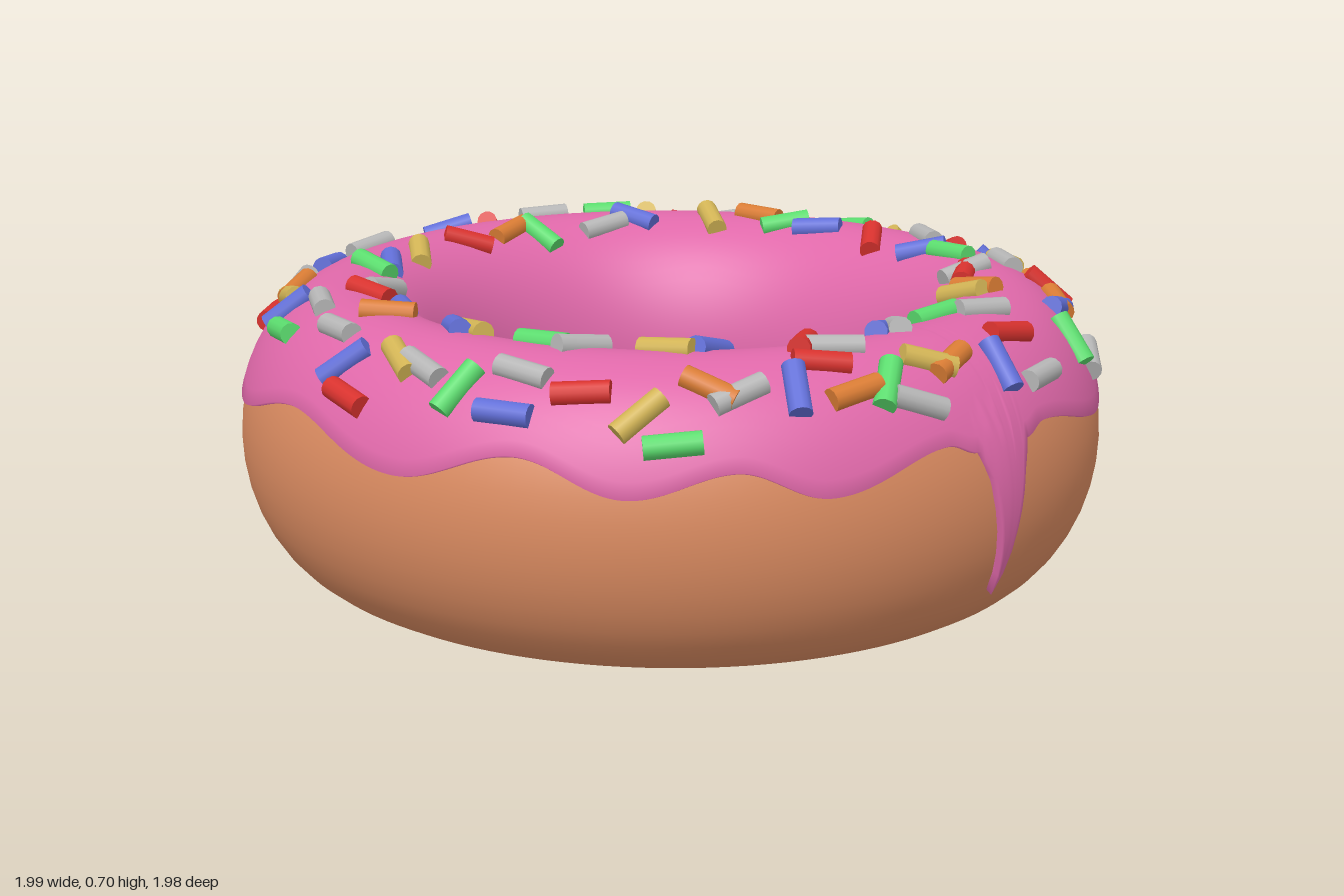
import * as THREE from 'three';

const material = (name, color, side = THREE.FrontSide) => {
  const m = new THREE.MeshStandardMaterial({ color, side });
  m.name = name;
  return m;
};
const doughMaterial = material('dough', 0xd98a60);
const icingMaterial = material('pinkIcing', 0xdf68a9, THREE.DoubleSide);

// Ring cross-section: angle theta runs from +z towards +x, phi runs around the tube
const OUTER = 0.99, MID_Y = 0.33, DEG = Math.PI / 180;
function ringSize(theta) {
  const inner = 0.492 - 0.015 * Math.cos(2 * theta);
  return { centre: (OUTER + inner) / 2, half: (OUTER - inner) / 2 };
}
function ringPoint(theta, phi, lift) {
  const { centre, half } = ringSize(theta);
  const r = centre + (half + lift) * Math.cos(phi);
  return [r * Math.sin(theta), MID_Y + (MID_Y + lift) * Math.sin(phi), r * Math.cos(theta)];
}

// Closed around theta; rows follow phi
function ringSurface(columns, rows, pointAt, wrapRows) {
  const positions = [], index = [];
  const rowCount = wrapRows ? rows : rows + 1;
  for (let i = 0; i < columns; i++)
    for (let j = 0; j < rowCount; j++) positions.push(...pointAt((i / columns) * Math.PI * 2, j));
  for (let i = 0; i < columns; i++)
    for (let j = 0; j < rows; j++) {
      const i2 = (i + 1) % columns, j2 = (j + 1) % rowCount;
      const a = i * rowCount + j, b = i2 * rowCount + j;
      const c = i2 * rowCount + j2, d = i * rowCount + j2;
      index.push(a, b, c, a, c, d);
    }
  const geometry = new THREE.BufferGeometry();
  geometry.setAttribute('position', new THREE.Float32BufferAttribute(positions, 3));
  geometry.setIndex(index);
  geometry.computeVertexNormals();
  return geometry;
}

// Wavy outer icing edge: [degrees, height], including one long drip
const DRIP = 97;
const EDGE = [
  [-4, 0.5], [17, 0.43], [33, 0.5], [47, 0.43], [60, 0.48], [71, 0.42], [88, 0.485],
  [92.5, 0.46], [94, 0.4], [95.5, 0.28], [97, 0.13], [98.5, 0.28], [100, 0.4], [101.5, 0.46],
  [106, 0.48], [126, 0.42], [143, 0.51], [160, 0.42], [177, 0.5], [192, 0.43], [208, 0.5],
  [223, 0.42], [241, 0.5], [257, 0.43], [273, 0.49], [290, 0.42], [306, 0.5], [335, 0.43], [356, 0.5],
];
function edgeHeight(degrees) {
  const d = degrees > 356 ? degrees - 360 : degrees;
  const k = Math.max(1, EDGE.findIndex((e) => e[0] >= d));
  const [d0, y0] = EDGE[k - 1], [d1, y1] = EDGE[k];
  const t = (d - d0) / (d1 - d0);
  // Straight sides on the drip, rounded waves elsewhere
  const s = d > 92.5 && d < 101.5 ? t : (1 - Math.cos(t * Math.PI)) / 2;
  return y0 + (y1 - y0) * s;
}

const ICING = 0.009, ICING_ROWS = 28;
function icingPoint(theta, j) {
  const degrees = theta / DEG;
  const start = Math.asin((edgeHeight(degrees) - MID_Y) / (MID_Y + ICING));
  const end = Math.PI;
  // First and last rows tuck the lip into the dough
  const lip = j === 0 || j === ICING_ROWS;
  const t = THREE.MathUtils.clamp((j - 1) / (ICING_ROWS - 2), 0, 1);
  const phi = start + (end - start) * t;
  const bulge = phi < 0.6 ? 0.007 * Math.exp(-(((degrees - DRIP) / 4) ** 2)) : 0;
  return ringPoint(theta, phi, lip ? -0.004 : ICING + bulge);
}

// Sprinkles: x and z in hundredths, then heading in degrees seen from above
const SPRINKLES = {
  green: [0x5bdc6e, [10, -94, -15, -28, -81, 5, -31, -61, 60, -73, -36, 60, -65, -9, 15, 23, -67, 0,
    74, -55, 5, 66, -21, 90, 88, 13, -50, 75, 58, 55, 34, 60, 20, 35, 82, 88, -31, 84, -15, -50, 49, 5]],
  blue: [0x626fd8, [-41, -79, 35, 16, -89, 40, -22, -64, 35, 14, -66, 40, 62, -63, -60, -80, -39, 70,
    -60, -35, 20, 88, -19, -5, 68, -3, -50, -84, 6, 65, 82, 32, -30, 58, 35, -70, -73, 47, -50,
    -52, 43, -30, -12, 65, -25, 12, 67, -25, -41, 77, 50, 3, 89, 50, 47, 79, 30]],
  red: [0xd8322e, [1, -88, -25, -4, -66, -45, 48, -74, 45, 40, -55, -50, -66, -59, 60, 80, -29, -85,
    -87, -9, -45, -66, 12, 60, 70, 20, -50, 79, 23, 60, 57, 67, 45, -27, 64, 10, -66, 67, -45, 10, 93, 0]],
  yellow: [0xd2b455, [-17, -89, 80, -53, -75, -80, 27, -81, -20, -47, -50, -25, -73, -49, -40, 53, -42, 5,
    86, 0, 65, -60, 30, -30, -84, 36, -65, 55, 44, 25, 68, 61, 80, 15, 65, -10, 17, 84, -15, -50, 71, -20]],
  orange: [0xd97c34, [38, -82, -15, -40, -60, 15, -61, -73, 35, 53, -46, 5, -68, -2, -70, 87, -5, -70,
    87, 21, 85, 73, 47, 30, -56, 66, -55, -7, 72, 45, 58, -67, -30]],
  grey: [0xb6b6b6, [-29, -89, 20, 6, -75, -25, 34, -74, -25, -61, -63, 30, 72, -63, -40, 88, -31, -70,
    -61, -26, 85, -79, -20, 70, 70, -31, 80, 69, -7, -35, 92, 8, 70, -76, 34, -80, -68, 59, 10,
    -33, 57, -65, -28, 76, -25, -9, 83, -5, 42, 56, 85, 44, 72, 20, 75, 16, 60, 77, 43, 80, 38, -57, 80, 24, 83, 0]],
};

function placeSprinkle(mesh, x, z, heading) {
  const theta = Math.atan2(x, z);
  const { centre, half } = ringSize(theta);
  const c = THREE.MathUtils.clamp((Math.hypot(x, z) - centre) / (half + ICING), -0.93, 0.93);
  const phi = Math.acos(c);
  mesh.position.set(...ringPoint(theta, phi, ICING + 0.002));
  // Lay the sprinkle along the icing
  const out = Math.cos(phi) / half, up = Math.sin(phi) / MID_Y;
  const normal = new THREE.Vector3(out * Math.sin(theta), up, out * Math.cos(theta)).normalize();
  const along = new THREE.Vector3(Math.cos(heading), 0, -Math.sin(heading));
  along.y = -along.dot(normal) / normal.y;
  mesh.quaternion.setFromUnitVectors(new THREE.Vector3(0, 1, 0), along.normalize());
}

export function createModel() {
  const model = new THREE.Group();
  model.name = 'donut';
  const add = (name, geometry, mat, parent = model) => {
    const mesh = new THREE.Mesh(geometry, mat);
    mesh.name = name;
    parent.add(mesh);
    return mesh;
  };

  // Dough ring
  const rows = 40;
  add('dough', ringSurface(120, rows, (theta, j) => ringPoint(theta, (j / rows) * Math.PI * 2, 0), true), doughMaterial);

  // Icing cap with wavy edge and drip
  add('icing', ringSurface(720, ICING_ROWS, icingPoint, false), icingMaterial);

  // Sprinkles, one group per colour
  const stick = new THREE.CylinderGeometry(0.025, 0.025, 0.12, 12);
  for (const [name, [color, spots]] of Object.entries(SPRINKLES)) {
    const group = new THREE.Group();
    group.name = name + 'Sprinkles';
    const mat = material(name + 'Sprinkle', color);
    for (let i = 0; i < spots.length; i += 3) {
      const mesh = add('sprinkle', stick, mat, group);
      placeSprinkle(mesh, spots[i] / 100, spots[i + 1] / 100, spots[i + 2] * DEG);
    }
    model.add(group);
  }
  model.position.x = -0.004;
  return model;
}
